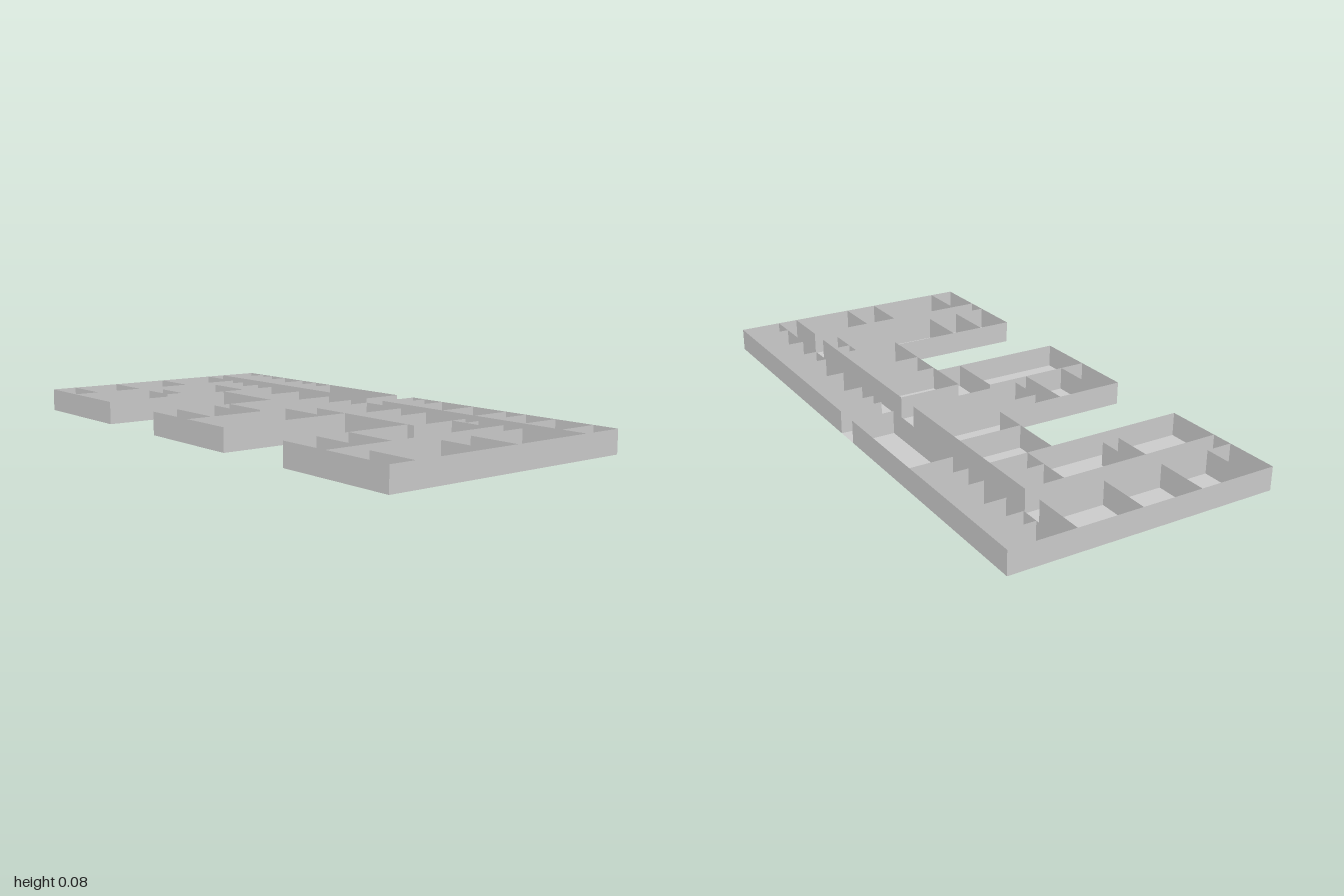
import * as THREE from 'three';

const H = 0.083; // wall height

export function createModel() {
  const root = new THREE.Group();
  const mat = new THREE.MeshStandardMaterial({ color: 0xcccccc, side: THREE.DoubleSide, flatShading: true });

  // Plan levels shared by several walls
  const back = -0.485, front = 0.483, hallBack = -0.33, hallFront = -0.253, court = -0.02;

  // E-shaped footprint, corners as [x, z]
  const outline = [
    [-1, back], [1, back], [1, front], [0.53, front], [0.53, court], [0.215, court],
    [0.215, front], [-0.22, front], [-0.22, court], [-0.532, court], [-0.532, front], [-1, front],
  ];
  const shape = new THREE.Shape(outline.map(([x, z]) => new THREE.Vector2(x, -z)));
  const floor = new THREE.Mesh(new THREE.ShapeGeometry(shape).rotateX(-Math.PI / 2), mat);
  floor.name = 'floor';
  root.add(floor);

  // Thin upright sheet between two plan points
  const addWall = (group, name, x1, z1, x2, z2) => {
    const wall = new THREE.Mesh(new THREE.PlaneGeometry(Math.hypot(x2 - x1, z2 - z1), H), mat);
    wall.position.set((x1 + x2) / 2, H / 2, (z1 + z2) / 2);
    wall.rotation.y = -Math.atan2(z2 - z1, x2 - x1);
    wall.name = name;
    group.add(wall);
  };
  const section = (name) => {
    const g = new THREE.Group();
    g.name = name;
    root.add(g);
    return {
      alongX: (z, ...spans) => spans.forEach(([a, b]) => addWall(g, 'wall', a, z, b, z)),
      alongZ: (a, b, ...xs) => xs.forEach((x) => addWall(g, 'wall', x, a, x, b)),
    };
  };

  // Outer walls, open at the rear entrance
  const outer = section('outerWalls');
  outline.forEach(([x, z], i) => {
    if (i === 0) return;
    const [x2, z2] = outline[(i + 1) % outline.length];
    outer.alongX(z, ...(z === z2 ? [[x, x2]] : []));
    if (x === x2) outer.alongZ(z, z2, x);
  });
  outer.alongX(back, [-1, -0.03], [0.06, 1]);

  // Main hallway and the passages branching from it
  const hall = section('hallwayWalls');
  hall.alongX(hallBack, [-1, -0.03], [0.06, 1]);
  hall.alongX(hallFront, [-1, -0.81], [-0.733, -0.03], [0.06, 0.73], [0.81, 1]);
  hall.alongZ(hallFront, front, -0.81, -0.733, 0.73, 0.81);
  hall.alongZ(back, hallBack, -0.03, 0.06);

  // Row of rooms along the back
  const rear = section('backRoomPartitions');
  rear.alongZ(back, hallBack, -0.908, -0.843, -0.75, -0.625, -0.532, -0.438,
    0.123, 0.215, 0.373, 0.53, 0.62, 0.748, 0.904);

  // Right-hand wing (-x)
  const rightWing = section('rightWingPartitions');
  for (const z of [court, 0.2, 0.387]) rightWing.alongX(z, [-1, -0.81]);
  rightWing.alongZ(hallFront, -0.113, -0.625);
  rightWing.alongX(-0.113, [-0.733, -0.532]);
  rightWing.alongZ(hallFront, court, -0.532);
  rightWing.alongX(0.137, [-0.733, -0.593]);
  rightWing.alongX(0.2, [-0.733, -0.593]);
  rightWing.alongZ(0.137, 0.2, -0.593);

  // Central rooms and wing
  const centre = section('centrePartitions');
  centre.alongZ(hallFront, court, -0.348, 0.06, 0.246, 0.373, 0.56);
  centre.alongZ(hallFront, 0.165, -0.16, -0.03);
  centre.alongX(0.165, [-0.22, -0.03]);
  centre.alongX(0.23, [-0.22, 0]);
  centre.alongX(0.387, [-0.22, 0]);
  centre.alongZ(0.075, front, 0);
  centre.alongX(0.075, [0, 0.215]);
  centre.alongX(court, [0.06, 0.215], [0.53, 0.56]);

  // Left-hand wing (+x)
  const leftWing = section('leftWingPartitions');
  for (const z of [court, 0.105, 0.387]) leftWing.alongX(z, [0.81, 1]);
  leftWing.alongX(-0.19, [0.56, 0.73]);
  leftWing.alongZ(hallFront, -0.19, 0.62);
  leftWing.alongX(0.23, [0.53, 0.73]);
  leftWing.alongX(0.356, [0.53, 0.73]);

  return root;
}
